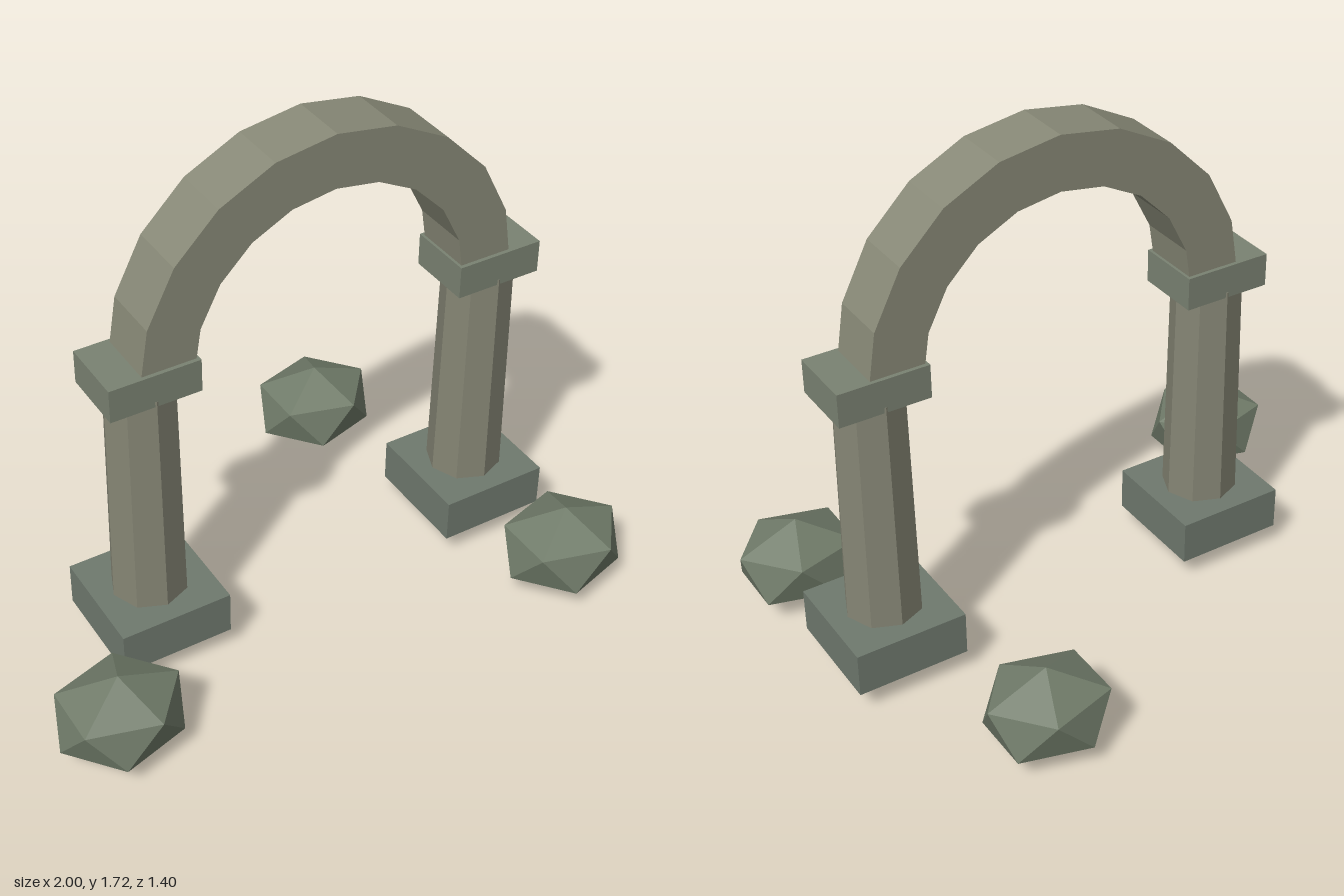
import * as THREE from 'three';
import { ConvexGeometry } from 'three/addons/geometries/ConvexGeometry.js';

const material = (color) => new THREE.MeshStandardMaterial({ color, flatShading: true });

const ARCH_X = 0.11, ARCH_Z = 0.073; // centre of the archway

function add(parent, name, geometry, mat, x, y, z) {
  const mesh = new THREE.Mesh(geometry, mat);
  mesh.name = name;
  mesh.position.set(x, y, z);
  parent.add(mesh);
  return mesh;
}

// Half ring of straight segments, extruded to an even depth
function archGeometry(outer, inner, depth, segments) {
  const points = [];
  for (let i = 0; i <= segments; i++) {
    const a = (i / segments) * Math.PI;
    points.push(new THREE.Vector2(Math.cos(a) * outer, Math.sin(a) * outer));
  }
  for (let i = segments; i >= 0; i--) {
    const a = (i / segments) * Math.PI;
    points.push(new THREE.Vector2(Math.cos(a) * inner, Math.sin(a) * inner));
  }
  const geometry = new THREE.ExtrudeGeometry(new THREE.Shape(points), { depth, bevelEnabled: false });
  return geometry.translate(0, 0, -depth / 2);
}

// Icosahedron standing on a corner, squashed: two staggered rings of five and two poles
function rockGeometry(rx, ry, rz) {
  const points = [new THREE.Vector3(0, ry, 0), new THREE.Vector3(0, -ry, 0)];
  for (let i = 0; i < 5; i++) {
    const a = (i / 5) * Math.PI * 2;
    const x = Math.cos(a) * rx, z = Math.sin(a) * rz, y = ry * 0.447;
    points.push(new THREE.Vector3(x, y, z), new THREE.Vector3(-x, -y, -z));
  }
  return new ConvexGeometry(points);
}

export function createModel() {
  const model = new THREE.Group();
  model.name = 'ruinedArchway';

  const baseStone = material(0x6f796e);
  const columnStone = material(0x858574);
  const capStone = material(0x7a8272);
  const archStone = material(0x888977);
  const rockStone = material(0x707b69);

  // Two pillars: plinth, tapered eight-sided column, cap
  const plinth = new THREE.BoxGeometry(0.376, 0.15, 0.376);
  const column = new THREE.CylinderGeometry(0.115, 0.126, 0.825, 8);
  const cap = new THREE.BoxGeometry(0.3, 0.112, 0.226);
  for (const side of [-1, 1]) {
    const pillar = new THREE.Group();
    pillar.name = side > 0 ? 'leftPillar' : 'rightPillar';
    pillar.position.set(ARCH_X + side * 0.606, 0, ARCH_Z);
    add(pillar, 'plinth', plinth, baseStone, 0, 0.153, 0);
    add(pillar, 'column', column, columnStone, 0, 0.6125, 0);
    add(pillar, 'cap', cap, capStone, 0, 1.063, 0);
    model.add(pillar);
  }

  // Arch springing from inside the caps
  add(model, 'arch', archGeometry(0.652, 0.473, 0.2, 10), archStone, ARCH_X, 1.07, ARCH_Z);

  // Loose rocks on the ground
  const rock = rockGeometry(0.202, 0.15, 0.177);
  const rocks = [[-0.798, 0.453], [0.49, -0.53], [0.798, 0.53]];
  rocks.forEach(([x, z], i) => add(model, `rock${i + 1}`, rock, rockStone, x, 0.15, z));

  return model;
}
